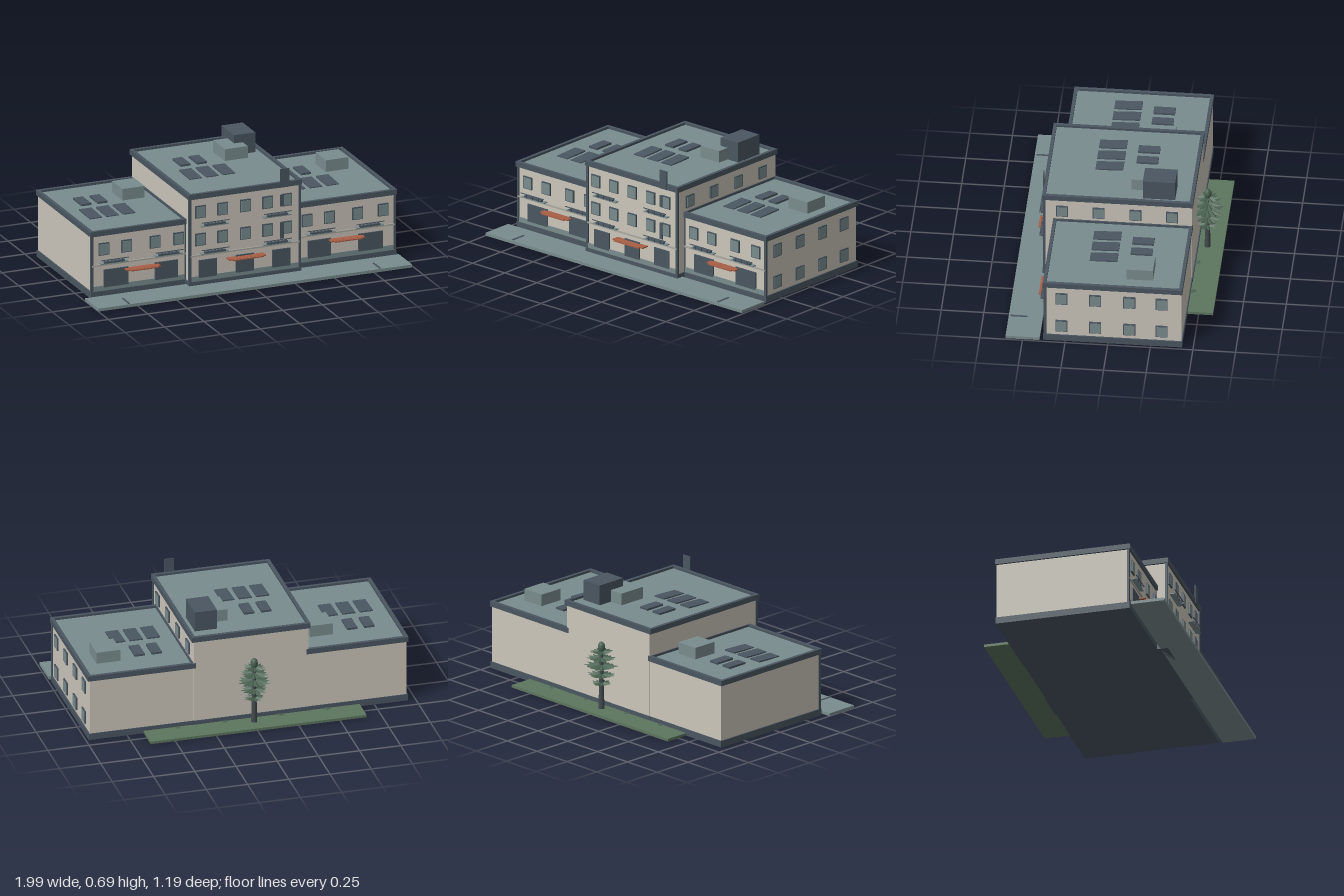
import * as THREE from 'three';

const mat = (name, color) => {
  const m = new THREE.MeshStandardMaterial({ color });
  m.name = name;
  return m;
};

export function createModel() {
  const M = {
    wall: mat('plaster', 0xcbc6bb),
    slate: mat('slate', 0x4a5661),
    teal: mat('greyTeal', 0x7a8c8e),
    stone: mat('stone', 0xa8a79f),
    awning: mat('terracotta', 0xa95f46),
    lawn: mat('lawnGreen', 0x5d755e),
    leaf: mat('leafGreen', 0x4c6453),
    trunk: mat('bark', 0x434b4f),
  };
  const model = new THREE.Group();
  model.name = 'building';

  // Box given by its limits on each axis
  const box = (name, material, x0, x1, y0, y1, z0, z1, parent = model) => {
    const mesh = new THREE.Mesh(new THREE.BoxGeometry(x1 - x0, y1 - y0, z1 - z0), material);
    mesh.position.set((x0 + x1) / 2, (y0 + y1) / 2, (z0 + z1) / 2);
    mesh.name = name;
    parent.add(mesh);
    return mesh;
  };

  // Building block: walls, plinth, roof, parapet and front corner strips
  function block(name, x0, x1, z0, z1, top) {
    const g = new THREE.Group();
    g.name = name;
    model.add(g);
    box('walls', M.wall, x0, x1, 0.03, top - 0.025, z0, z1, g);
    box('plinth', M.slate, x0 - 0.008, x1 + 0.008, 0, 0.04, z0 - 0.005, z1 + 0.01, g);
    box('roof', M.teal, x0, x1, top - 0.025, top - 0.014, z0, z1, g);
    const o = 0.012, t = 0.02, y0 = top - 0.032;
    box('parapetFront', M.slate, x0 - o, x1 + o, y0, top, z1 + o - t, z1 + o, g);
    box('parapetBack', M.slate, x0 - o, x1 + o, y0, top, z0 - 0.006, z0 - 0.006 + t, g);
    box('parapetLeft', M.slate, x1 + o - t, x1 + o, y0, top, z0, z1, g);
    box('parapetRight', M.slate, x0 - o, x0 - o + t, y0, top, z0, z1, g);
    for (const x of [x0, x1]) box('cornerStrip', M.slate, x - 0.007, x + 0.007, 0.04, y0, z1 - 0.008, z1 + 0.007, g);
    box('stringCourse', M.stone, x0, x1, 0.194, 0.203, z1, z1 + 0.009, g);
    box('baseBand', M.teal, x0, x1, 0.04, 0.07, z1, z1 + 0.005, g);
  }
  const WING_Z = 0.37, MID_Z = 0.435, BACK = -0.43;
  block('rightWing', -0.945, -0.35, BACK, WING_Z, 0.413);
  block('leftWing', 0.345, 0.975, BACK, WING_Z, 0.413);
  block('centreBlock', -0.35, 0.345, BACK - 0.002, MID_Z, 0.582);

  // Framed window, facing the front or turned to the side
  function windowUnit(x, y, z, w = 0.066, h = 0.076, side = false) {
    const g = new THREE.Group();
    g.name = 'window';
    box('frame', M.slate, -w / 2, w / 2, -h / 2, h / 2, -0.005, 0.009, g);
    box('glass', M.teal, -w / 2 + 0.005, w / 2 - 0.004, -h / 2 + 0.004, h / 2 - 0.006, 0.006, 0.0105, g);
    g.position.set(x, y, z);
    if (side) g.rotation.y = Math.PI / 2;
    model.add(g);
  }
  for (const x of [-0.87, -0.725, -0.545, -0.395, 0.42, 0.56, 0.74, 0.9]) windowUnit(x, 0.297, WING_Z);
  for (const x of [-0.285, -0.145, 0, 0.14, 0.26])
    for (const y of [0.297, 0.468]) windowUnit(x, y, MID_Z);
  for (const z of [0.273, 0.075, -0.125, -0.315])
    for (const y of [0.105, 0.3]) windowUnit(0.975, y, z, 0.07, 0.078, true);
  for (const z of [0.33, 0.115, -0.1, -0.315]) windowUnit(0.345, 0.47, z, 0.07, 0.074, true);

  // Shop fronts
  for (const [a, b] of [[-0.87, -0.715], [-0.545, -0.4], [0.425, 0.57], [0.745, 0.9]])
    box('shopFront', M.slate, a, b, 0.06, 0.168, WING_Z, WING_Z + 0.008);
  for (const [a, b] of [[-0.295, -0.18], [-0.06, 0.055], [0.17, 0.285]])
    box('shopFront', M.slate, a, b, 0.06, 0.168, MID_Z, MID_Z + 0.008);

  // Awnings
  for (const [a, b, z] of [[-0.74, -0.525, WING_Z], [-0.12, 0.115, MID_Z], [0.555, 0.77, WING_Z]]) {
    box('awning', M.awning, a, b, 0.154, 0.161, z, z + 0.045);
    box('awningLip', M.awning, a + 0.02, b - 0.02, 0.153, 0.16, z + 0.045, z + 0.058);
  }

  // Balconies with slab, posts and rails
  function balcony(x, y, z) {
    const g = new THREE.Group();
    g.name = 'balcony';
    box('slab', M.teal, -0.088, 0.088, 0, 0.006, 0, 0.028, g);
    box('planter', M.slate, -0.065, 0.065, 0.006, 0.016, 0.012, 0.03, g);
    box('rail', M.slate, -0.088, 0.088, 0.026, 0.03, 0.03, 0.035, g);
    for (const px of [-0.045, 0, 0.045]) box('post', M.slate, px - 0.002, px + 0.002, 0.004, 0.03, 0.03, 0.034, g);
    g.position.set(x, y, z);
    model.add(g);
  }
  for (const x of [-0.81, -0.465, 0.5, 0.81]) balcony(x, 0.208, WING_Z);
  for (const x of [-0.2, 0.195])
    for (const y of [0.208, 0.378]) balcony(x, y, MID_Z);

  // Upright sign plates
  for (const [y0, y1] of [[0.235, 0.335], [0.435, 0.505], [0.55, 0.665]])
    box('signPlate', M.slate, 0.217, y0 > 0.5 ? 0.275 : 0.24, y0, y1, MID_Z + 0.009, MID_Z + 0.015);

  // Roof plant boxes
  box('roofUnit', M.teal, -0.55, -0.41, 0.39, 0.47, -0.255, -0.1);
  box('roofUnit', M.teal, 0.74, 0.885, 0.39, 0.47, -0.255, -0.1);
  box('roofUnit', M.teal, 0.085, 0.23, 0.56, 0.64, -0.24, -0.065);
  box('stairHead', M.slate, 0.175, 0.31, 0.56, 0.69, -0.33, -0.14);

  // Skylights and tilted panels: two behind, three in front on each roof
  for (const [x, z, y] of [[-0.71, 0, 0.399], [-0.09, 0.03, 0.568], [0.58, 0, 0.399]]) {
    const back = x === -0.09 ? -0.02 : -0.017;
    for (const dx of [-0.052, 0.052])
      box('skylight', M.slate, x + dx + back - 0.031, x + dx + back + 0.031, y - 0.005, y + 0.012, z - 0.227, z - 0.1);
    for (const dx of [-0.106, 0, 0.106]) {
      const p = box('roofPanel', M.slate, x + dx - 0.039, x + dx + 0.039, y, y + 0.008, z - 0.03, z + 0.132);
      p.rotation.x = 0.04;
    }
  }

  // Pavement and lawn
  box('pavement', M.teal, -1, 0.99, 0, 0.018, 0.4, 0.6);
  for (const x of [-0.8, 0.79]) box('pavementStrip', M.slate, x - 0.006, x + 0.006, 0.018, 0.021, 0.49, 0.59);
  box('lawn', M.lawn, -0.66, 0.65, 0, 0.016, -0.585, -0.43);

  // Spiky leaf tier: star-shaped rim, flat on top, tapering below
  function leafTier(r, depth, points, turn) {
    const pos = [], n = points * 2;
    const rim = (i) => {
      const a = turn + (i / n) * Math.PI * 2;
      const q = i % 2 ? r * 0.6 : r * (0.9 + 0.1 * Math.cos(i * 2.3));
      return [Math.sin(a) * q, i % 2 ? -depth * 0.35 : 0, Math.cos(a) * q];
    };
    for (let i = 0; i < n; i++) {
      const a = rim(i), b = rim((i + 1) % n);
      pos.push(0, depth * 0.2, 0, ...a, ...b, 0, -depth, 0, ...b, ...a);
    }
    const geo = new THREE.BufferGeometry();
    geo.setAttribute('position', new THREE.Float32BufferAttribute(pos, 3));
    geo.computeVertexNormals();
    return geo;
  }

  // Tree behind the building
  const tree = new THREE.Group();
  tree.name = 'tree';
  tree.position.set(-0.005, 0, -0.49);
  model.add(tree);
  const add = (name, geo, material, y) => {
    const mesh = new THREE.Mesh(geo, material);
    mesh.name = name;
    mesh.position.y = y;
    tree.add(mesh);
    return mesh;
  };
  add('trunk', new THREE.CylinderGeometry(0.009, 0.018, 0.37, 10), M.trunk, 0.195);
  [[0.065, 0.175], [0.09, 0.228], [0.112, 0.284], [0.095, 0.331], [0.072, 0.371]].forEach(([r, y], i) =>
    add('leafTier', leafTier(r, 0.022, 14, i * 0.2), M.leaf, y));
  add('treeTop', new THREE.SphereGeometry(0.022, 12, 8), M.leaf, 0.395).scale.y = 1.5;

  // Low tufts by the back wall
  for (const x of [-0.46, -0.175, 0.165, 0.45]) {
    const tuft = new THREE.Mesh(leafTier(0.024, 0.006, 6, x), M.leaf);
    tuft.name = 'grassTuft';
    tuft.position.set(x, 0.02, -0.45);
    model.add(tuft);
  }
  return model;
}
